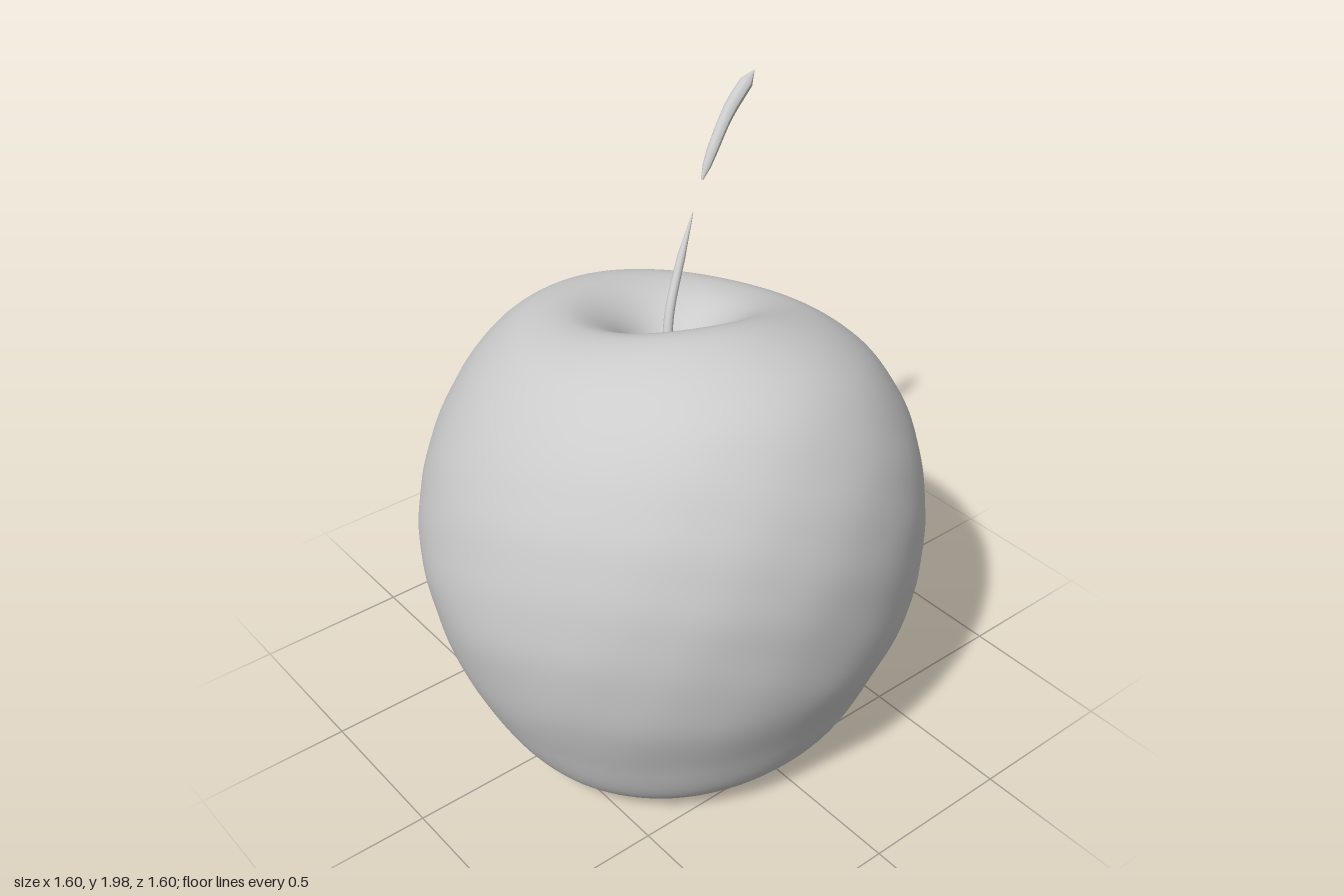
import * as THREE from 'three';

const material = new THREE.MeshStandardMaterial({ color: 0xcccccc, side: THREE.DoubleSide });

// Four meridians of the fruit, from the stem cavity over the rim down to the base
const LEFT = [[0.04, 1.15], [0.12, 1.22], [0.22, 1.3], [0.34, 1.345], [0.48, 1.33], [0.6, 1.24], [0.7, 1.1], [0.76, 0.93],
  [0.8, 0.72], [0.78, 0.5], [0.72, 0.32], [0.61, 0.16], [0.45, 0.04], [0.3, 0.015], [0, 0.03]];
const RIGHT = [[0.04, 1.15], [-0.02, 1.25], [-0.12, 1.38], [-0.25, 1.45], [-0.42, 1.42], [-0.57, 1.3], [-0.7, 1.1], [-0.77, 0.9],
  [-0.8, 0.7], [-0.78, 0.5], [-0.73, 0.32], [-0.63, 0.13], [-0.5, 0.04], [-0.3, 0.015], [0, 0.03]];
const FRONT = [[-0.07, 1.15], [0, 1.25], [0.1, 1.4], [0.22, 1.5], [0.4, 1.49], [0.58, 1.4], [0.72, 1.2], [0.79, 0.97],
  [0.8, 0.75], [0.775, 0.52], [0.7, 0.31], [0.62, 0.12], [0.52, 0.03], [0.36, 0.01], [0.1, 0.03]];
const BACK = [[-0.07, 1.15], [-0.15, 1.22], [-0.26, 1.32], [-0.38, 1.37], [-0.5, 1.36], [-0.61, 1.28], [-0.71, 1.13], [-0.78, 0.95],
  [-0.8, 0.76], [-0.77, 0.62], [-0.7, 0.5], [-0.52, 0.32], [-0.35, 0.16], [-0.22, 0.05], [0.1, 0.03]];

const meridian = (points) => new THREE.CatmullRomCurve3(points.map(([r, y]) => new THREE.Vector3(r, y, 0)));

function fruitGeometry(rows = 112, columns = 128) {
  const curves = [LEFT, RIGHT, FRONT, BACK].map(meridian);
  const cut = new THREE.Vector3(0, 1, 0.98).normalize();
  const cutOffset = cut.dot(new THREE.Vector3(0, 0.05, -0.24));
  const positions = [], index = [];
  const p = new THREE.Vector3();
  for (let i = 0; i <= rows; i++) {
    const [l, r, f, b] = curves.map((curve) => curve.getPoint(i / rows));
    for (let j = 0; j < columns; j++) {
      const angle = (j / columns) * Math.PI * 2;
      const c = Math.cos(angle), s = Math.sin(angle);
      // Each ring is a tilted, slightly saddle-shaped ellipse through the meridians
      p.set(
        (l.x + r.x) / 2 + ((l.x - r.x) / 2) * c,
        ((l.y + r.y) / 2) * c * c + ((l.y - r.y) / 2) * c + ((f.y + b.y) / 2) * s * s + ((f.y - b.y) / 2) * s,
        (f.x + b.x) / 2 + ((f.x - b.x) / 2) * s
      );
      // Faint unevenness of the skin, fading towards cavity and base
      const fade = Math.sin((Math.PI * i) / rows) ** 2;
      const bump = 1 + 0.002 * fade * Math.sin(p.x * 17 + p.y * 9) * Math.sin(p.y * 19 - p.z * 14);
      p.x *= bump;
      p.z *= bump;
      // Flattened slope low on the back
      const below = cutOffset - cut.dot(p);
      if (below > 0) p.addScaledVector(cut, below);
      positions.push(p.x, Math.max(p.y, 0), p.z);
      if (i < rows) {
        const a = i * columns + j, next = i * columns + ((j + 1) % columns);
        index.push(a, next, a + columns, next, next + columns, a + columns);
      }
    }
  }
  const geometry = new THREE.BufferGeometry();
  geometry.setAttribute('position', new THREE.Float32BufferAttribute(positions, 3));
  geometry.setIndex(index);
  geometry.computeVertexNormals();
  return geometry;
}

// Closed tube whose radius follows a list of values along its path
function taperedTube(points, radii, segments = 24, sides = 12) {
  const path = new THREE.CatmullRomCurve3(points.map((q) => new THREE.Vector3(...q)));
  const geometry = new THREE.TubeGeometry(path, segments, 1, sides);
  const position = geometry.attributes.position;
  const v = new THREE.Vector3();
  for (let i = 0; i <= segments; i++) {
    const t = (i / segments) * (radii.length - 1);
    const k = Math.min(Math.floor(t), radii.length - 2);
    const radius = THREE.MathUtils.lerp(radii[k], radii[k + 1], t - k);
    const centre = path.getPointAt(i / segments);
    for (let j = 0; j <= sides; j++) {
      const n = i * (sides + 1) + j;
      v.fromBufferAttribute(position, n).sub(centre).multiplyScalar(radius).add(centre);
      position.setXYZ(n, v.x, v.y, v.z);
    }
  }
  geometry.computeVertexNormals();
  return geometry;
}

export function createModel() {
  const group = new THREE.Group();
  const add = (name, geometry) => {
    const mesh = new THREE.Mesh(geometry, material);
    mesh.name = name;
    group.add(mesh);
  };

  add('fruitBody', fruitGeometry());

  // The stem is in two pieces with a gap between them
  add('lowerStem', taperedTube(
    [[0.03, 1.14, -0.06], [0.085, 1.35, -0.12], [0.16, 1.48, -0.165], [0.25, 1.625, -0.207]],
    [0.018, 0.016, 0.015, 0.013, 0.002]));
  add('upperStem', taperedTube(
    [[0.305, 1.71, -0.23], [0.37, 1.8, -0.25], [0.45, 1.89, -0.272], [0.555, 1.985, -0.283]],
    [0.004, 0.014, 0.018, 0.019, 0.02, 0.022, 0.023, 0.022, 0.001]));
  return group;
}
